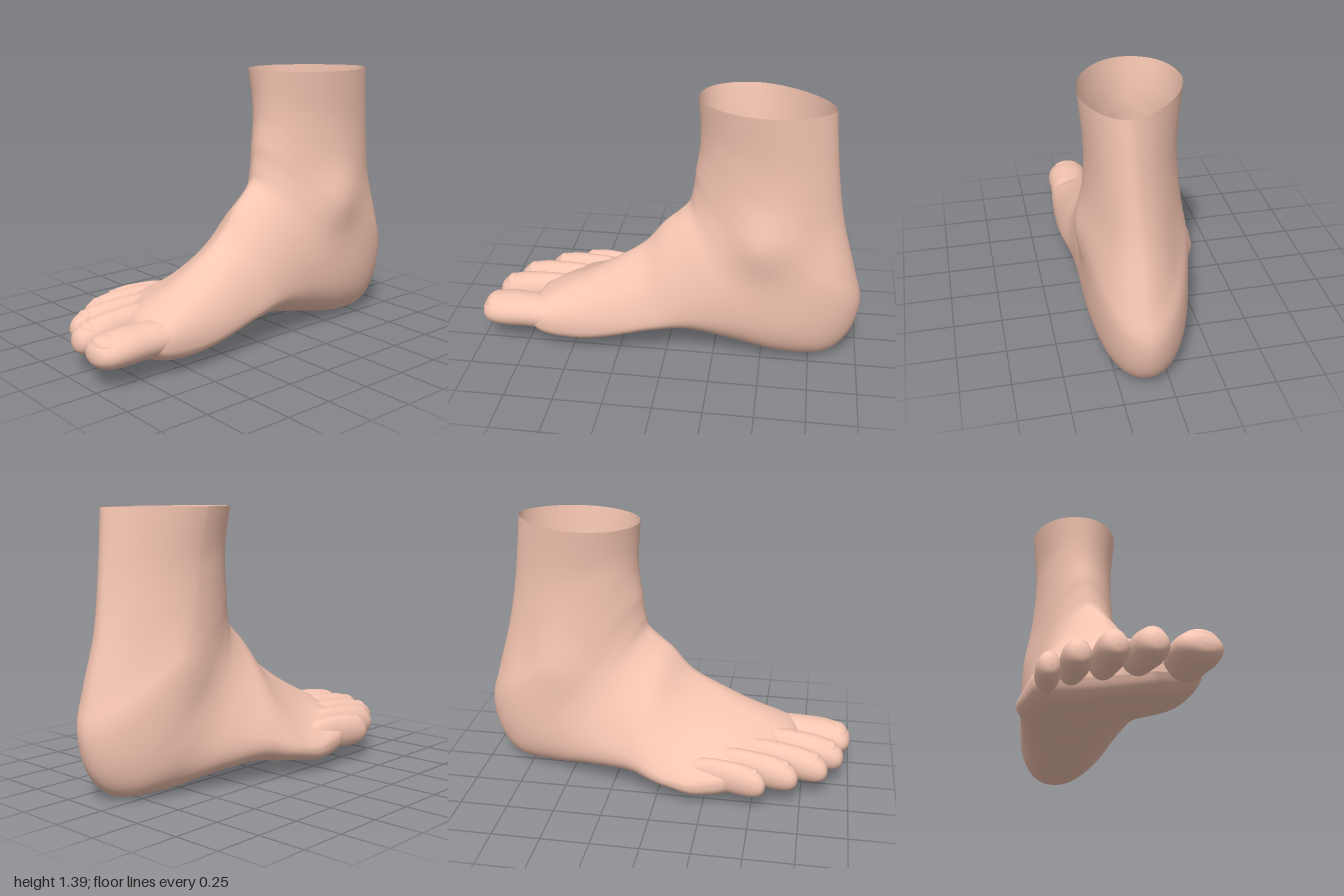
import * as THREE from 'three';

const skin = new THREE.MeshStandardMaterial({ color: 0xf6c6b2, side: THREE.DoubleSide });

// Side profile per station, toe end to shin: instep z, y and sole/heel z, y
const profile = [
  [0.725, 0.205, 0.72, 0.13], [0.69, 0.26, 0.69, 0.08], [0.60, 0.31, 0.62, 0.045], [0.45, 0.38, 0.45, 0.03],
  [0.28, 0.475, 0.25, 0.045], [0.13, 0.575, 0.05, 0.06], [0.03, 0.695, -0.15, 0.075], [-0.05, 0.765, -0.40, 0.045],
  [-0.10, 0.82, -0.63, 0.005], [-0.115, 0.88, -0.84, 0.015], [-0.125, 0.94, -0.955, 0.13], [-0.13, 1.0, -1.0, 0.32],
  [-0.14, 1.06, -0.96, 0.50], [-0.15, 1.14, -0.885, 0.78], [-0.15, 1.25, -0.84, 1.05], [-0.14, 1.39, -0.805, 1.385],
];
// Widths per station: outer x, inner x, x of the instep ridge, x of the sole line
const widths = [
  [-0.29, 0.30, 0.12, 0.05], [-0.35, 0.34, 0.16, 0.05], [-0.365, 0.355, 0.16, 0.02], [-0.37, 0.36, 0.15, 0.0],
  [-0.355, 0.36, 0.13, 0.0], [-0.335, 0.348, 0.11, 0.0], [-0.29, 0.345, 0.10, 0.02], [-0.23, 0.348, 0.09, 0.06],
  [-0.18, 0.352, 0.085, 0.09], [-0.155, 0.352, 0.08, 0.10], [-0.145, 0.35, 0.08, 0.11], [-0.135, 0.348, 0.08, 0.12],
  [-0.125, 0.345, 0.08, 0.13], [-0.115, 0.337, 0.08, 0.14], [-0.115, 0.335, 0.08, 0.16], [-0.145, 0.355, 0.08, 0.17],
];
// Roundness per station: height of the widest point (outer, inner),
// exponents (outer top, inner top, outer under, inner under)
const rounding = [
  [0.5, 0.5, 2.8, 2.3, 2.6, 2.3], [0.45, 0.5, 2.6, 2.4, 2.9, 2.7], [0.4, 0.45, 2, 2.2, 3, 2.9], [0.3, 0.36, 1.6, 2, 2.9, 2.9],
  [0.23, 0.29, 1.42, 1.9, 2.7, 2.8], [0.21, 0.28, 1.4, 1.8, 2.5, 2.6], [0.22, 0.34, 1.42, 1.8, 2.4, 2.5], [0.27, 0.42, 1.5, 1.9, 2.4, 2.5],
  [0.36, 0.45, 1.65, 1.9, 2.3, 2.4], [0.42, 0.48, 1.8, 1.9, 2.1, 2.3], [0.46, 0.48, 1.9, 1.9, 1.9, 2.15], [0.5, 0.48, 2, 1.9, 1.75, 2.05],
  [0.53, 0.47, 2.05, 1.9, 1.62, 1.95], [0.56, 0.46, 2.1, 1.9, 1.6, 1.85], [0.57, 0.46, 2.15, 1.9, 1.58, 1.85], [0.57, 0.46, 2.2, 1.9, 1.55, 1.85],
];

// Smooth (Catmull-Rom) lookup of a row of numbers at u in 0..1
function sample(table, u) {
  const last = table.length - 1;
  const i = Math.min(Math.floor(u * last), last - 1);
  const t = u * last - i;
  const row = (k) => table[Math.max(0, Math.min(last, k))];
  return row(i).map((b, k) => {
    const a = row(i - 1)[k], c = row(i + 1)[k], d = row(i + 2)[k];
    return b + 0.5 * t * (c - a + t * (2 * a - 5 * b + 4 * c - d + t * (3 * (b - c) + d - a)));
  });
}

// Skin a stack of closed rings with smooth normals
function loft(rings) {
  const n = rings[0].length, pos = [], index = [];
  rings.forEach((ring) => ring.forEach((p) => pos.push(p.x, p.y, p.z)));
  for (let i = 0; i < rings.length - 1; i++) {
    for (let j = 0; j < n; j++) {
      const k = (j + 1) % n;
      const a = i * n + j, b = i * n + k, c = a + n, d = b + n;
      index.push(a, b, c, b, d, c);
    }
  }
  const geo = new THREE.BufferGeometry();
  geo.setAttribute('position', new THREE.Float32BufferAttribute(pos, 3));
  geo.setIndex(index);
  geo.computeVertexNormals();
  return geo;
}

const bell = (d, r) => Math.exp(-(d * d) / (r * r));

// Ankle bones, hollows beside the heel cord, and the inner arch
function sculpt(p) {
  const side = THREE.MathUtils.smoothstep(p.x, 0.12, 0.3);
  const outer = 1 - THREE.MathUtils.smoothstep(p.x, -0.1, 0.08);
  p.x += side * 0.045 * bell(p.y - 0.7, 0.15) * bell(p.z + 0.47, 0.14);
  p.x -= outer * 0.014 * bell(p.y - 0.61, 0.14) * bell(p.z + 0.54, 0.13);
  p.x += (outer - side) * 0.012 * bell(p.y - 0.72, 0.18) * bell(p.z + 0.78, 0.1);
  const low = 1 - THREE.MathUtils.smoothstep(p.y, 0.06, 0.3);
  p.y += 0.05 * low * THREE.MathUtils.smoothstep(p.x, 0.0, 0.3) * bell(p.z - 0.02, 0.28);
  return p;
}

// Foot, heel and lower leg: sections fan from upright at the toes to level at the shin
function footBody() {
  const rings = [], steps = 90, sides = 72;
  for (let i = 0; i <= steps; i++) {
    const u = i / steps;
    const [zT, yT, zB, yB] = sample(profile, u);
    const [xL, xR, xT, xB] = sample(widths, u);
    const [wL, wR, topL, topR, underL, underR] = sample(rounding, u);
    const ring = [];
    for (let j = 0; j < sides; j++) {
      const a = (j / sides) * Math.PI * 2;
      const s = Math.sin(a), c = Math.cos(a);
      const inner = s >= 0, top = c >= 0;
      const e = top ? (inner ? topR : topL) : (inner ? underR : underL);
      const w = inner ? wR : wL, mid = top ? xT : xB;
      const x = mid + ((inner ? xR : xL) - mid) * Math.abs(s) ** (2 / e);
      const v = w + ((top ? 1 : 0) - w) * Math.abs(c) ** (2 / e);
      const z = zB + (zT - zB) * v;
      // The toe line slants back towards the little toe
      const slant = 0.7 * THREE.MathUtils.smoothstep(z, -0.3, 0.75);
      ring.push(sculpt(new THREE.Vector3(x, yB + (yT - yB) * v, z - slant * Math.max(0, 0.1 - x))));
    }
    rings.push(ring);
  }
  // Close the front, hidden behind the toes
  const middle = rings[0].reduce((sum, p) => sum + p.y, 0) / sides;
  rings.unshift(rings[0].map((p) => new THREE.Vector3(p.x, middle, p.z)));
  return loft(rings);
}

// Toe thickness from tip to root: position, width factor, height factor
const toeShape = [
  [0, 0, 0], [0.012, 0.42, 0.36], [0.045, 0.72, 0.62], [0.1, 0.9, 0.83], [0.18, 0.99, 0.94],
  [0.3, 1, 1], [0.44, 0.94, 0.98], [0.6, 0.9, 0.97], [0.78, 0.85, 0.85], [1, 0.7, 0.6],
];

function toe(name, tip, root, halfWidth, halfHeight, nailTilt) {
  const group = new THREE.Group();
  group.name = name;
  const from = new THREE.Vector3(...tip), to = new THREE.Vector3(...root);
  const axisAt = (t) => {
    const p = from.clone().lerp(to, t);
    p.y += 0.015 * Math.sin(Math.PI * t);
    return p;
  };
  const rings = [];
  for (let i = 0; i <= 36; i++) {
    const [t, w, h] = sample(toeShape, i / 36);
    const c = axisAt(t), ring = [];
    for (let j = 0; j < 28; j++) {
      const a = (j / 28) * Math.PI * 2;
      ring.push(new THREE.Vector3(c.x + halfWidth * w * Math.sin(a), c.y + halfHeight * h * Math.cos(a), c.z));
    }
    rings.push(ring);
  }
  const flesh = new THREE.Mesh(loft(rings), skin);
  flesh.name = name + 'Flesh';
  // Nail: a domed plate mostly sunk in the tip
  const nail = new THREE.Mesh(new THREE.SphereGeometry(1, 24, 16), skin);
  nail.name = name + 'Nail';
  nail.scale.set(halfWidth * 0.72, halfHeight * 0.5, halfWidth * 0.52);
  nail.position.copy(axisAt(0.14));
  nail.position.y += halfHeight * 0.43;
  nail.rotation.x = nailTilt;
  group.add(flesh, nail);
  return group;
}

export function createModel() {
  const model = new THREE.Group();
  model.name = 'foot';
  const body = new THREE.Mesh(footBody(), skin);
  body.name = 'footAndAnkle';
  model.add(body);
  model.add(
    toe('bigToe', [0.212, 0.165, 1.0], [0.268, 0.175, 0.45], 0.114, 0.088, 0.1),
    toe('secondToe', [0.01, 0.16, 0.965], [0.06, 0.21, 0.42], 0.079, 0.09, 0.25),
    toe('thirdToe', [-0.138, 0.16, 0.885], [-0.06, 0.205, 0.33], 0.073, 0.09, 0.25),
    toe('fourthToe', [-0.252, 0.165, 0.735], [-0.17, 0.195, 0.2], 0.07, 0.09, 0.25),
    toe('littleToe', [-0.338, 0.16, 0.575], [-0.25, 0.165, 0.1], 0.06, 0.087, 0.25),
  );
  return model;
}
